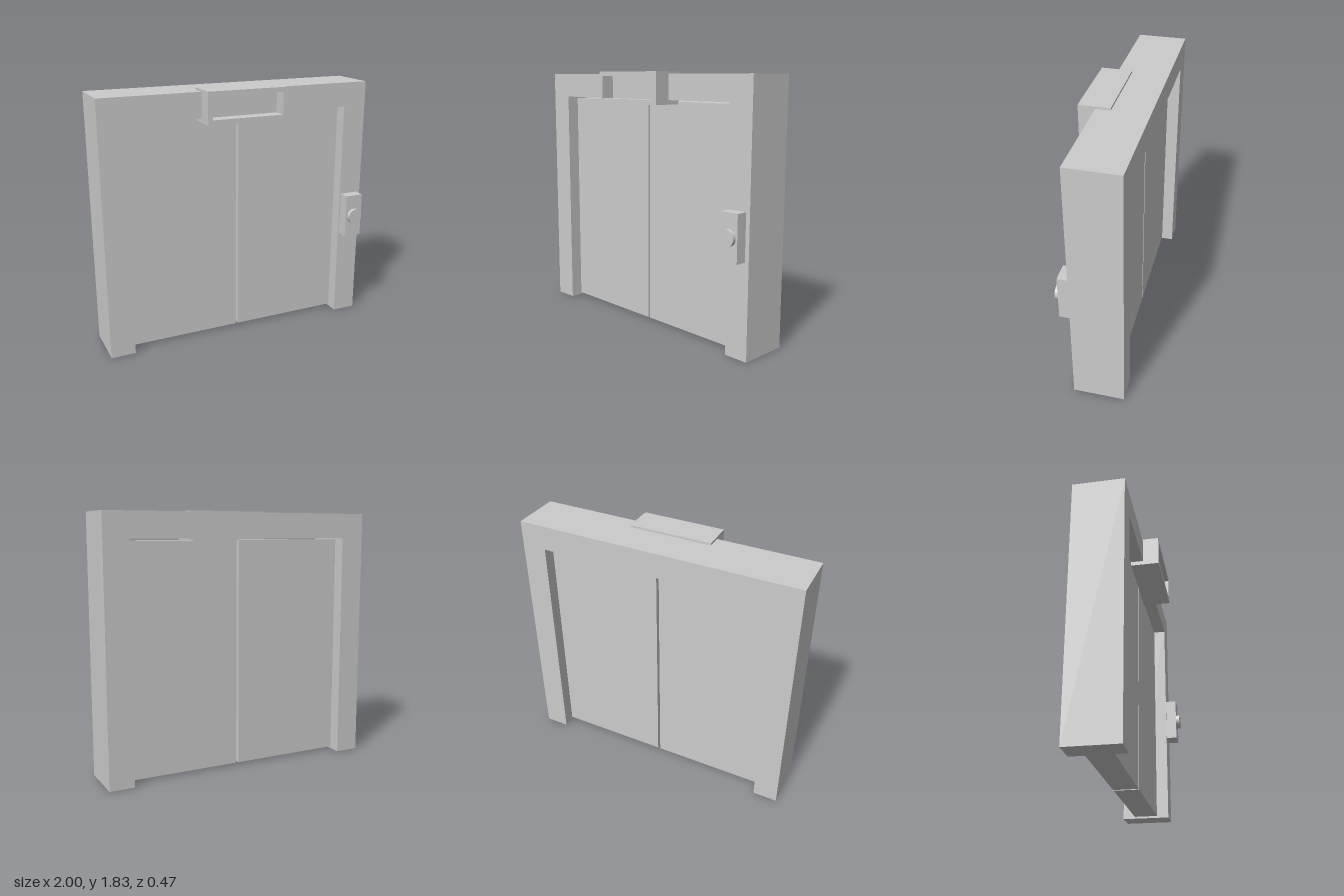
import * as THREE from 'three';

const material = new THREE.MeshStandardMaterial({ color: 0xcccccc });

function add(group, name, geometry) {
  const mesh = new THREE.Mesh(geometry, material);
  mesh.name = name;
  group.add(mesh);
  return mesh;
}

// Box given by its limits on each axis
function block(x0, x1, y0, y1, z0, z1) {
  return new THREE.BoxGeometry(x1 - x0, y1 - y0, z1 - z0)
    .translate((x0 + x1) / 2, (y0 + y1) / 2, (z0 + z1) / 2);
}

function rect(PathType, x0, x1, y0, y1) {
  return new PathType([[x0, y0], [x1, y0], [x1, y1], [x0, y1]]
    .map(([x, y]) => new THREE.Vector2(x, y)));
}

function extrude(shape, z0, z1) {
  return new THREE.ExtrudeGeometry(shape, { depth: z1 - z0, bevelEnabled: false }).translate(0, 0, z0);
}

export function createModel() {
  const model = new THREE.Group();
  model.name = 'elevatorDoor';

  // Surround: two jambs and a lintel in one piece
  const outline = [[-1, 0], [-0.825, 0], [-0.825, 1.64], [0.825, 1.64], [0.825, 0], [1, 0], [1, 1.815], [-1, 1.815]];
  const surround = new THREE.Shape(outline.map(([x, y]) => new THREE.Vector2(x, y)));
  add(model, 'doorFrame', extrude(surround, -0.235, 0.12));

  // Sliding door leaves with a narrow gap between them
  add(model, 'rightDoor', block(-0.827, -0.003, 0.015, 1.627, -0.145, 0.03));
  add(model, 'leftDoor', block(0.015, 0.827, 0.015, 1.627, -0.145, 0.03));

  // Floor indicator: open-fronted housing over the lintel
  const indicator = new THREE.Group();
  indicator.name = 'floorIndicator';
  const rim = rect(THREE.Shape, -0.295, 0.29, 1.61, 1.83);
  rim.holes.push(rect(THREE.Path, -0.263, 0.257, 1.642, 1.798));
  add(indicator, 'indicatorRim', extrude(rim, 0.138, 0.235));
  add(indicator, 'indicatorBack', block(-0.295, 0.29, 1.61, 1.83, 0.02, 0.138));
  model.add(indicator);

  // Call panel with a round button
  const callPanel = new THREE.Group();
  callPanel.name = 'callPanel';
  add(callPanel, 'panelPlate', block(0.835, 0.97, 0.655, 0.975, 0.11, 0.2));
  const button = add(callPanel, 'callButton', new THREE.CylinderGeometry(0.055, 0.055, 0.035, 32));
  button.rotation.x = Math.PI / 2;
  button.position.set(0.903, 0.815, 0.2085);
  model.add(callPanel);

  return model;
}
